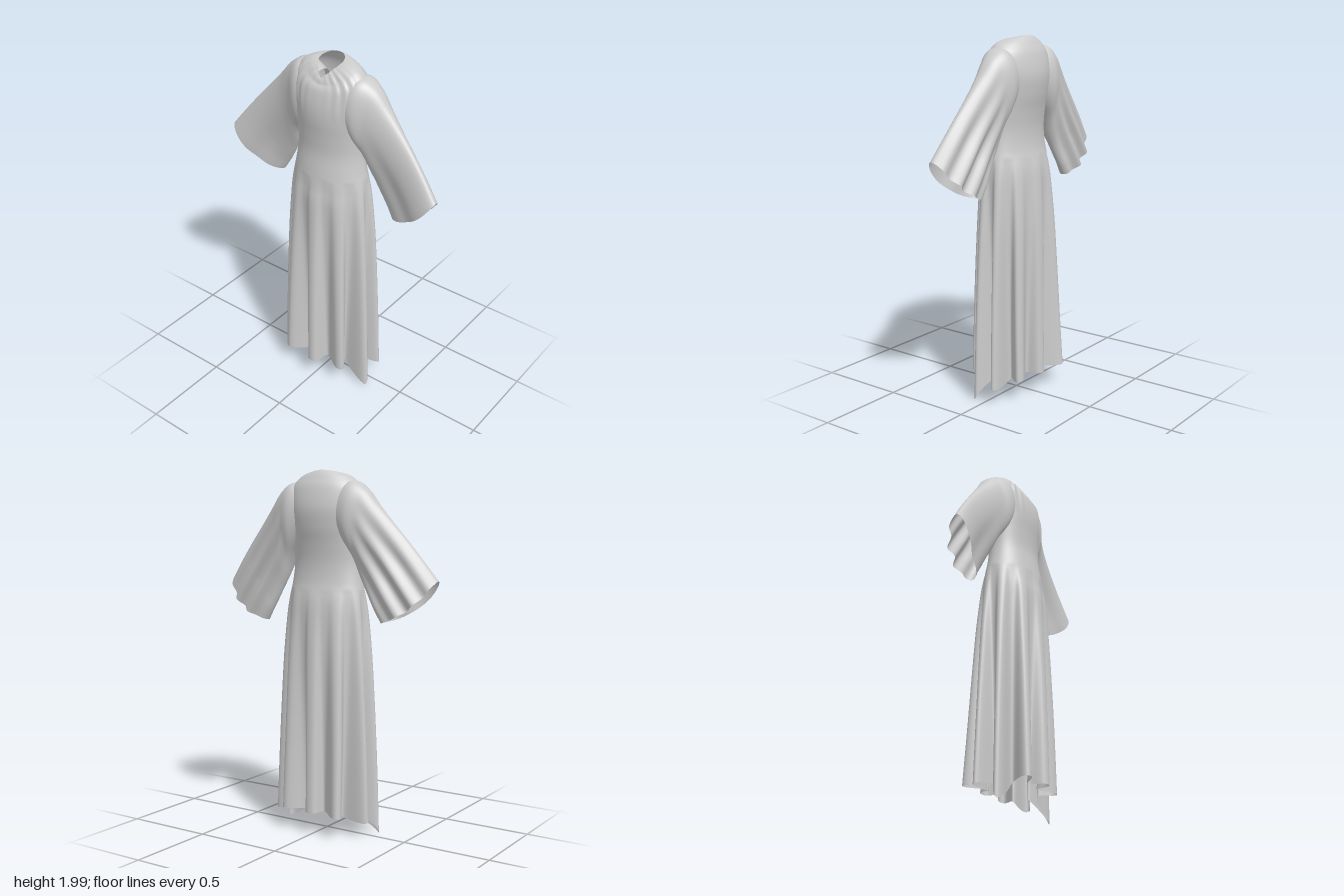
import * as THREE from 'three';

const cloth = new THREE.MeshStandardMaterial({ color: 0xcccccc, side: THREE.DoubleSide });

// Smooth (Catmull-Rom) reading of a table of sections, t from 0 to 1
function sample(rows, t) {
  const f = t * (rows.length - 1);
  const i = Math.min(Math.floor(f), rows.length - 2), u = f - i;
  const row = k => rows[Math.max(0, Math.min(rows.length - 1, k))];
  return rows[0].map((_, c) => {
    const [a, b, d, e] = [row(i - 1)[c], row(i)[c], row(i + 1)[c], row(i + 2)[c]];
    return b + 0.5 * u * (d - a + u * (2 * a - 5 * b + 4 * d - e + u * (3 * (b - d) + e - a)));
  });
}

// Closed rings swept into one smooth open tube; point(t, angle) gives [x, y, z]
function loft(name, rings, sides, point) {
  const pos = [], index = [];
  for (let i = 0; i <= rings; i++) {
    for (let j = 0; j < sides; j++) {
      pos.push(...point(i / rings, j / sides * Math.PI * 2));
      if (i === rings) continue;
      const a = i * sides + j, b = i * sides + (j + 1) % sides;
      index.push(a, b, a + sides, b, b + sides, a + sides);
    }
  }
  const g = new THREE.BufferGeometry();
  g.setAttribute('position', new THREE.Float32BufferAttribute(pos, 3));
  g.setIndex(index);
  g.computeVertexNormals();
  const mesh = new THREE.Mesh(g, cloth);
  mesh.name = name;
  return mesh;
}

const bump = (x, centre, width) => Math.exp(-(((x - centre) / width) ** 2));

// Gown: height, half width, front z, back z
const gownRows = [
  [2.0, 0.068, 0.055, -0.07],
  [1.988, 0.115, 0.08, -0.085],
  [1.957, 0.168, 0.104, -0.108],
  [1.9, 0.212, 0.124, -0.135],
  [1.8, 0.218, 0.14, -0.154],
  [1.7, 0.21, 0.143, -0.145],
  [1.6, 0.203, 0.135, -0.124],
  [1.5, 0.201, 0.132, -0.112],
  [1.4, 0.214, 0.145, -0.118],
  [1.3, 0.235, 0.16, -0.142],
  [1.2, 0.25, 0.175, -0.155],
  [1.0, 0.27, 0.185, -0.17],
  [0.75, 0.287, 0.195, -0.18],
  [0.45, 0.304, 0.203, -0.19],
  [0.13, 0.318, 0.208, -0.203],
];

function gownPoint(t, th) {
  let [y, w, zf, zb] = sample(gownRows, t);
  const c = Math.cos(th), s = Math.sin(th), front = Math.max(0, s);
  const deg = th * 180 / Math.PI;
  const top = Math.max(0, 1 - t * 14 / 5);        // 1 at the neckline, 0 under the chest
  const vee = Math.max(0, 1 - t * 14 / 2);        // sharp V only near the neckline
  const skirt = Math.max(0, (1.36 - y) / 1.23);
  // Ten deep, rounded folds that open toward the hem
  const wave = Math.tanh(1.2 * Math.cos(10 * th)) / Math.tanh(1.2);
  let r = 1 - 0.43 * skirt ** 0.75 * (1 + wave) / 2;
  // Small gathers either side of the neck
  const gather = bump(th, 0.85, 0.38) + bump(th, Math.PI - 0.85, 0.38);
  r += 0.035 * Math.cos(24 * th) * gather * Math.min(1, top * 1.5);
  // Neckline slopes forward and dips to a V at the front
  const tip = s > 0 ? 1 - Math.abs(c) : 0;
  let z = (s > 0 ? s * zf : -s * zb) + 0.03 * vee * tip;
  y -= Math.min(1, top * 1.5) * (0.25 * (z + 0.07) * vee
    + 0.05 * vee * tip + 0.085 * (1 - vee) * front ** 2);
  // The folds on the right stand out further than the middle back one
  z *= 1 + skirt * (0.13 * bump(deg, 126, 14) + 0.18 * bump(deg, 234, 14) - 0.1 * bump(deg, 270, 14));
  // Hem hangs lower at the sides
  const drop = 0.125 * (bump(deg, 20, 11) + bump(deg, 160, 11))
    + 0.04 * (bump(deg, 338, 18) + bump(deg, 202, 18));
  y -= drop * skirt ** 3;
  return [w * c * r - 0.008 * vee, y, z * r];
}

// Sleeve: upper edge x, y; lower edge x, y; front z, back z; twist; section squareness
const sleeveRows = [
  [0.08, 1.9, 0.1, 1.66, 0.09, -0.105, 0, 0.8],
  [0.185, 1.938, 0.175, 1.57, 0.1, -0.13, 0, 0.75],
  [0.27, 1.89, 0.212, 1.5, 0.07, -0.114, 0, 0.8],
  [0.345, 1.8, 0.243, 1.42, 0.052, -0.1, 0.005, 0.9],
  [0.43, 1.7, 0.273, 1.355, 0.043, -0.088, 0.012, 1],
  [0.515, 1.6, 0.305, 1.29, 0.04, -0.08, 0.02, 1],
  [0.595, 1.5, 0.338, 1.23, 0.045, -0.077, 0.028, 1],
  [0.67, 1.4, 0.372, 1.172, 0.058, -0.072, 0.034, 1],
];

function sleevePoint(t, a) {
  const [ux, uy, lx, ly, zf, zb, twist, power] = sample(sleeveRows, t);
  const c = Math.cos(a), s = Math.sin(a), k = (1 + c) / 2;
  const mid = (zf + zb) / 2, half = (zf - zb) / 2;
  const side = Math.sign(s) * Math.abs(s) ** power;
  // Lengthwise folds: three ridges on the back, one soft hollow on the front
  const open = Math.min(1, Math.max(0, t - 0.25) * 2);
  const fold = open * s * s * (s < 0 ? 0.017 * Math.cos(10.5 * c + 1) : -0.014 * bump(c, -0.25, 0.35));
  // Cuff edge bows outward
  const bow = 0.04 * t ** 4 * s * s;
  return [
    lx + (ux - lx) * k + 0.6 * bow,
    ly + (uy - ly) * k - 0.8 * bow,
    mid + side * half + twist * c + fold,
  ];
}

export function createModel() {
  const robe = new THREE.Group();
  robe.name = 'robe';
  robe.add(loft('gown', 112, 240, gownPoint));
  robe.add(loft('leftSleeve', 50, 96, sleevePoint));
  // The right sleeve is held slightly higher
  robe.add(loft('rightSleeve', 50, 96, (t, a) => {
    const [x, y, z] = sleevePoint(t, -a);
    return [-x - 0.004 * t, y + 0.022 * t, z - 0.008 * t];
  }));
  return robe;
}
